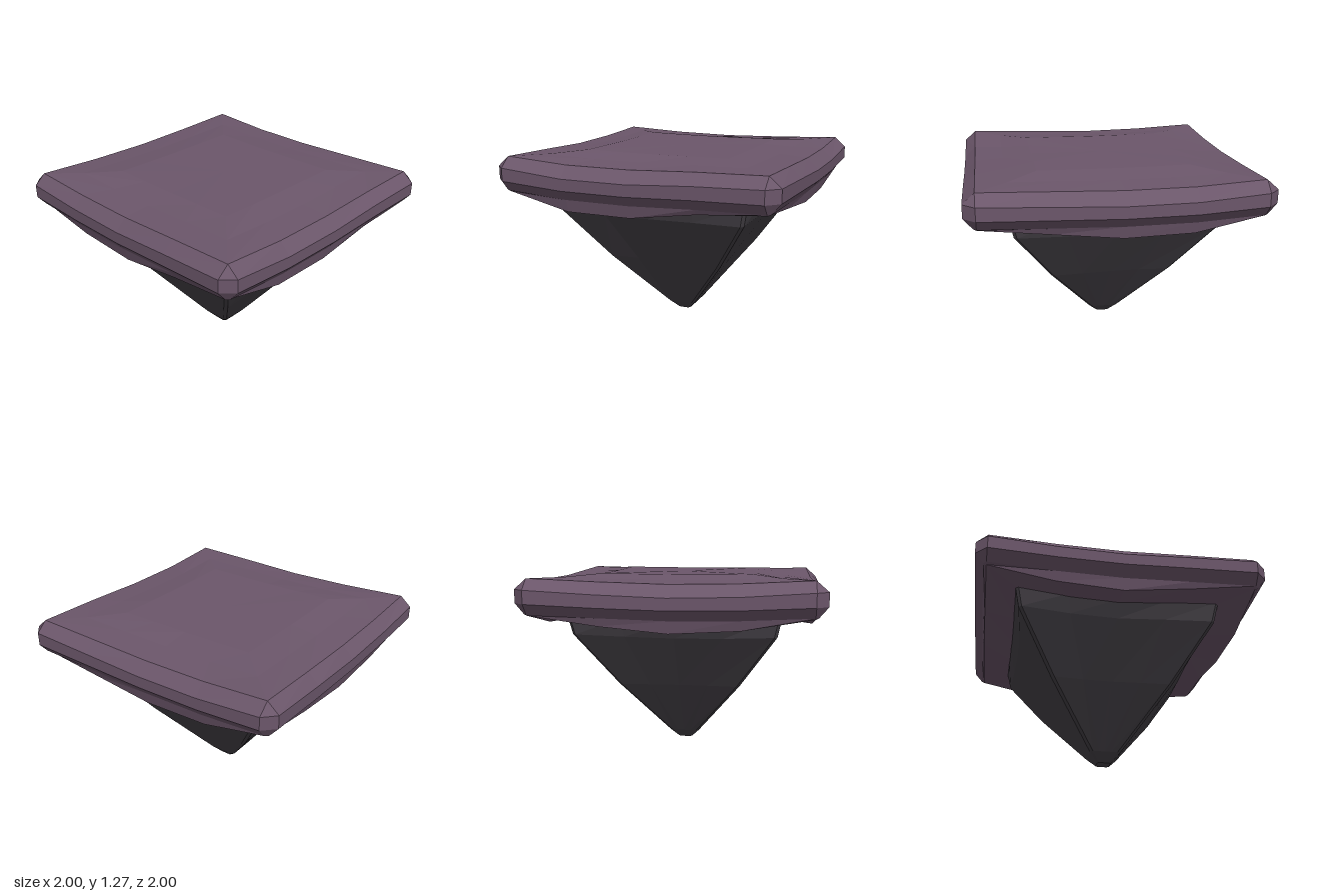
import * as THREE from 'three';

const STEPS = [-1, -0.5, 0, 0.5, 1];
// How strongly each side (front, right-hand +x, back, -x) follows the mid-side sag
const SAG = [[0, 0.75, 1, 0.45, 0], [0, 1, 1, 0.35, 0], [0, 0.5, 1, 0.9, 0], [0, 0.6, 1, 0.75, 0]];

// Square ring of 20 points: half = side distance, reach = where the corner chamfer starts,
// yCorner / yMid = heights at corners and mid-sides, scoop = mid-side pull towards the centre
function ring([half, reach, yCorner, yMid, scoop = 0]) {
  const points = [];
  SAG.forEach((weights, side) => {
    const a = side * Math.PI / 2, c = Math.cos(a), s = Math.sin(a);
    STEPS.forEach((t, i) => {
      const x = reach * t, z = half - scoop * weights[i];
      points.push([x * c + z * s, yCorner + (yMid - yCorner) * weights[i], z * c - x * s]);
    });
  });
  return points;
}

// Skin rings listed from bottom to top and close both ends with fans
function loft(name, material, profiles, yBottom, yTop) {
  const rings = profiles.map(ring), n = rings[0].length, pos = [];
  const tri = (...p) => p.forEach(v => pos.push(...v));
  for (let j = 0; j < n; j++) {
    const k = (j + 1) % n;
    for (let i = 0; i < rings.length - 1; i++) {
      const a = rings[i], b = rings[i + 1];
      tri(a[j], a[k], b[k]);
      tri(a[j], b[k], b[j]);
    }
    tri([0, yBottom, 0], rings[0][k], rings[0][j]);
    const top = rings[rings.length - 1];
    tri([0, yTop, 0], top[j], top[k]);
  }
  const geometry = new THREE.BufferGeometry();
  geometry.setAttribute('position', new THREE.Float32BufferAttribute(pos, 3));
  geometry.computeVertexNormals();
  const mesh = new THREE.Mesh(geometry, material);
  mesh.name = name;
  return mesh;
}

export function createModel() {
  const group = new THREE.Group();
  group.name = 'floatingIsland';
  const soil = new THREE.MeshStandardMaterial({ color: 0x6b566a, flatShading: true });
  const stone = new THREE.MeshStandardMaterial({ color: 0x444046, flatShading: true });

  // Ground slab: underside, drooping skirt, bevelled rim, raised plateau
  group.add(loft('groundSlab', soil, [
    [0.70, 0.70, 1.00, 0.95],
    [0.92, 0.92, 1.02, 0.915],
    [0.94, 0.92, 1.03, 1.00],
    [1.00, 0.92, 1.10, 1.07],
    [1.00, 0.92, 1.19, 1.15],
    [0.92, 0.92, 1.26, 1.23],
    [0.72, 0.72, 1.26, 1.245],
    [0.52, 0.52, 1.275, 1.27],
  ], 1.0, 1.27));

  // Tapering rock with narrow chamfered ridges
  group.add(loft('rockBase', stone, [
    [0.05, 0.035, 0.0, 0.0],
    [0.11, 0.09, 0.065, 0.065],
    [0.43, 0.41, 0.48, 0.48, 0.02],
    [0.69, 0.67, 0.87, 0.85, 0.03],
    [0.72, 0.70, 1.01, 0.97],
  ], 0.0, 1.05));

  return group;
}
